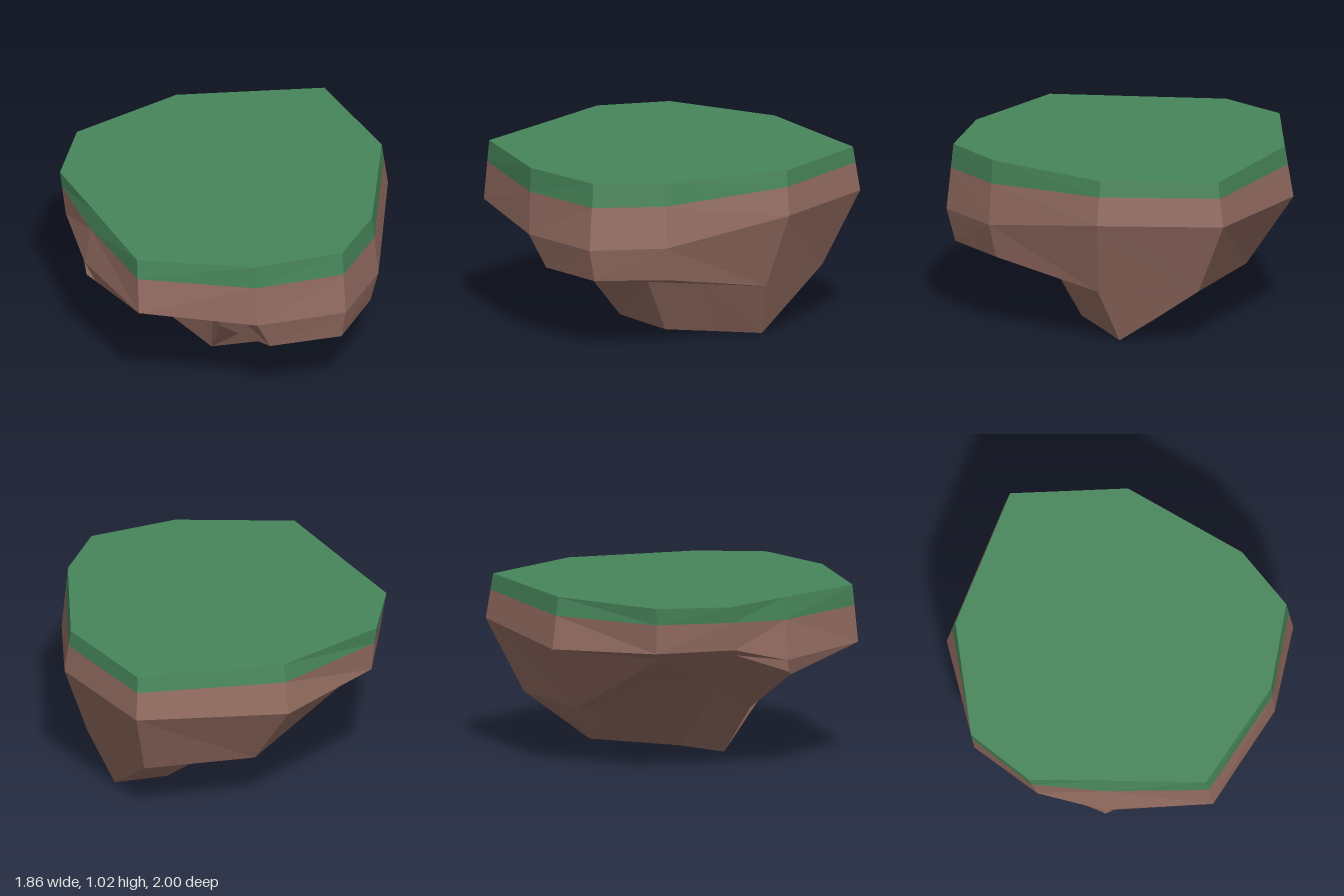
import * as THREE from 'three';

// Eleven columns run clockwise seen from above, starting at the back:
// back, back left, left, front left, front, front right (wall, then notch), right corner, right side, right back, back right
const topOutline = [[0.12, -0.95], [0.9, -0.6], [0.9, 0.08], [0.48, 0.72], [0.15, 0.96],
  [-0.36, 0.85], [-0.36, 0.85], [-0.92, 0.45], [-0.885, -0.12], [-0.86, -0.57], [-0.57, -0.89]];
// Widest line of the earth
const rim = [[0.12, 0.72, -1], [0.93, 0.76, -0.63], [0.93, 0.76, 0.1], [0.51, 0.64, 0.74], [0.15, 0.63, 1],
  [-0.36, 0.63, 0.87], [-0.36, 0.63, 0.87], [-0.93, 0.68, 0.49], [-0.93, 0.66, -0.15], [-0.85, 0.76, -0.52],
  [-0.55, 0.75, -0.87]];
// Lower edge of the overhanging walls
const ledge = [[0.17, 0.33, -0.73], [0.77, 0.33, -0.48], [0.77, 0.32, 0.1], [0.48, 0.44, 0.7], [0.15, 0.44, 0.95],
  [-0.26, 0.44, 0.84], [-0.36, 0.62, 0.84], [-0.9, 0.565, -0.08], [-0.93, 0.59, -0.13], [-0.81, 0.72, -0.47],
  [-0.5, 0.7, -0.78]];
// Where the undersides meet the root
const hip = [-0.53, 0.32, 0];
const neck = [[0.15, 0.33, -0.5], [0.77, 0.33, -0.48], [0.77, 0.32, 0.1], [0.46, 0.32, 0.25], [0.15, 0.32, 0.4],
  [-0.32, 0.32, 0.36], [-0.36, 0.55, 0.36], hip, hip, [-0.5, 0.47, -0.25], [-0.25, 0.5, -0.53]];
// Tip of the root; several columns share a corner, and a hollow cuts in at the back
const left = [0.66, 0, -0.02], right = [-0.24, 0.01, 0.11];
const tip = [[0.42, 0.05, -0.2], left, left, [0.4, 0, 0.1], [0.15, 0, 0.22],
  right, right, right, right, right, [0.05, 0.02, 0.06]];

const vec = (p) => new THREE.Vector3(...p);
const topRing = topOutline.map(([x, z]) => new THREE.Vector3(x, 1.02, z));
const rimRing = rim.map(vec);
const turfRing = topRing.map((p, i) => p.clone().lerp(rimRing[i], 0.36));

// Faceted skin through a stack of rings, with optional ends fanned from the last column
function skin(name, rings, color, capTop, capBottom) {
  const pos = [];
  const tri = (a, b, c) => {
    const area = b.clone().sub(a).cross(c.clone().sub(a)).length();
    if (area > 1e-6) for (const p of [a, b, c]) pos.push(p.x, p.y, p.z);
  };
  for (let r = 0; r < rings.length - 1; r++) {
    const up = rings[r], low = rings[r + 1], n = up.length;
    for (let i = 0; i < n; i++) {
      const j = (i + 1) % n;
      // split each quad along its shorter diagonal
      if (up[i].distanceTo(low[j]) < up[j].distanceTo(low[i])) {
        tri(up[i], up[j], low[j]);
        tri(up[i], low[j], low[i]);
      } else {
        tri(up[i], up[j], low[i]);
        tri(up[j], low[j], low[i]);
      }
    }
  }
  const first = rings[0], last = rings[rings.length - 1], hub = first.length - 1;
  for (let i = 0; i < hub - 1; i++) {
    if (capTop) tri(first[hub], first[i + 1], first[i]);
    if (capBottom) tri(last[hub], last[i], last[i + 1]);
  }
  const geo = new THREE.BufferGeometry();
  geo.setAttribute('position', new THREE.Float32BufferAttribute(pos, 3));
  geo.computeVertexNormals();
  const mesh = new THREE.Mesh(geo, new THREE.MeshStandardMaterial({ color, flatShading: true }));
  mesh.name = name;
  return mesh;
}

export function createModel() {
  const group = new THREE.Group();
  group.name = 'floatingIsland';
  // Flat grass top with a short band around its edge
  group.add(skin('grass', [topRing, turfRing], 0x47855a, true, false));
  // Earth walls, undersides and root
  group.add(skin('earth', [turfRing, rimRing, ledge.map(vec), neck.map(vec), tip.map(vec)], 0x936c61, false, true));
  return group;
}
